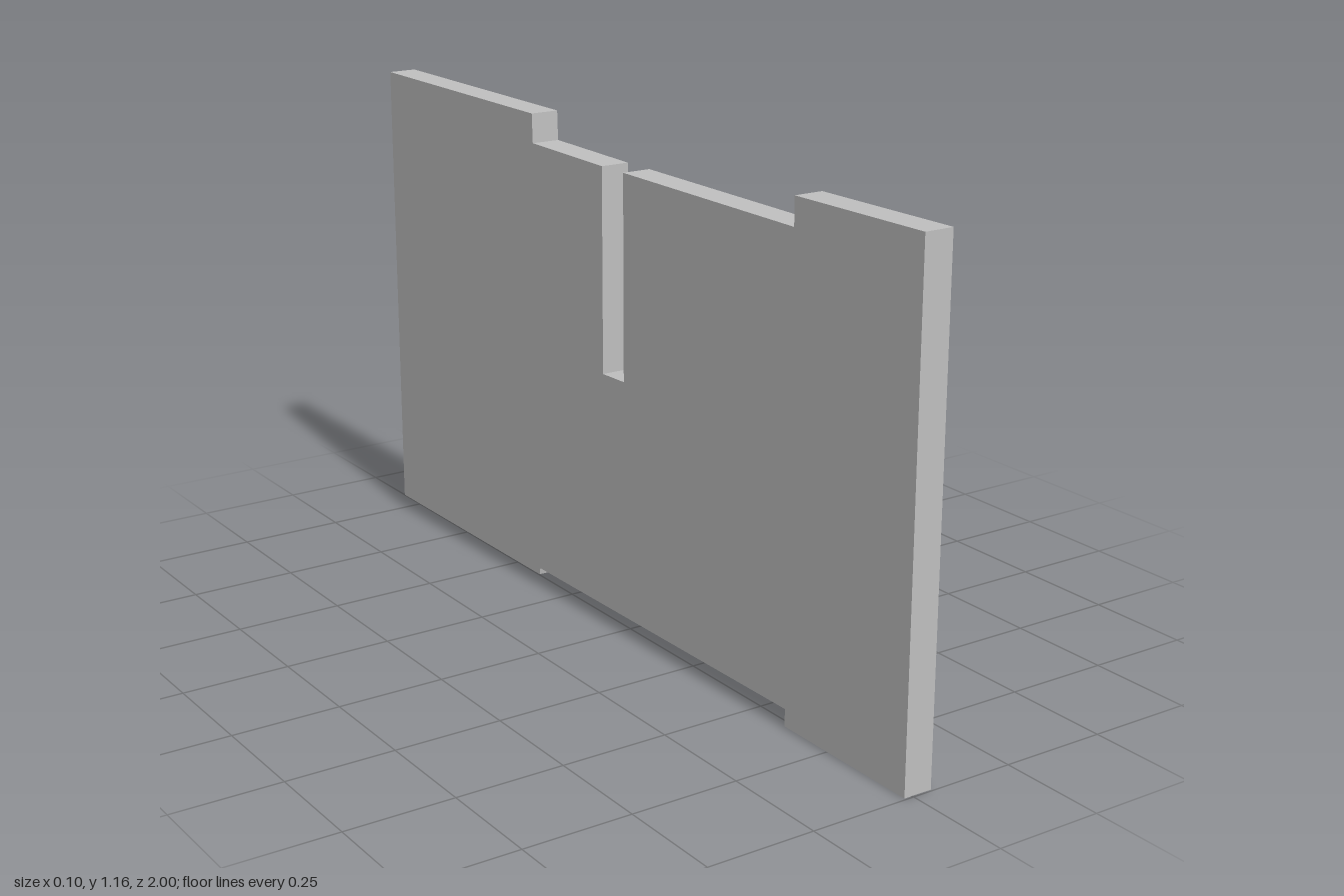
import * as THREE from 'three';

// Panel outline as [z, y] pairs, counter-clockwise seen from +x
const OUTLINE = [
  [0.995, 0], [0.615, 0.005], [0.615, 0.045], [-0.335, 0.047], // bottom front foot and recess
  [-0.338, 0.03], [-1, 0.035], [-0.993, 1.157], [-0.335, 1.155], // rear foot, rear edge, raised rear top
  [-0.333, 1.087], [-0.052, 1.083], [-0.055, 0.608], [0.027, 0.61], // upper recess and centre slot
  [0.03, 1.083], [0.62, 1.08], [0.62, 1.143], [1, 1.146], // raised front top
];
const THICKNESS = 0.068;

export function createModel() {
  const model = new THREE.Group();
  model.name = 'slottedPanelModel';

  const grey = new THREE.MeshStandardMaterial({ color: 0xc0c0c0 });
  grey.name = 'light grey';

  // Flat board with its slot, thickness running along x
  const shape = new THREE.Shape(OUTLINE.map(([z, y]) => new THREE.Vector2(-z, y)));
  const geometry = new THREE.ExtrudeGeometry(shape, { depth: THICKNESS, bevelEnabled: false });
  geometry.translate(0, 0, -THICKNESS / 2).rotateY(Math.PI / 2);

  // Slight lean of the board: x shifts with depth and height
  const p = geometry.attributes.position;
  for (let i = 0; i < p.count; i++) {
    p.setX(i, p.getX(i) + 0.002 + 0.0125 * p.getZ(i) - 0.007 * p.getY(i));
  }
  geometry.computeVertexNormals();

  const panel = new THREE.Mesh(geometry, grey);
  panel.name = 'slottedPanel';
  model.add(panel);
  return model;
}
